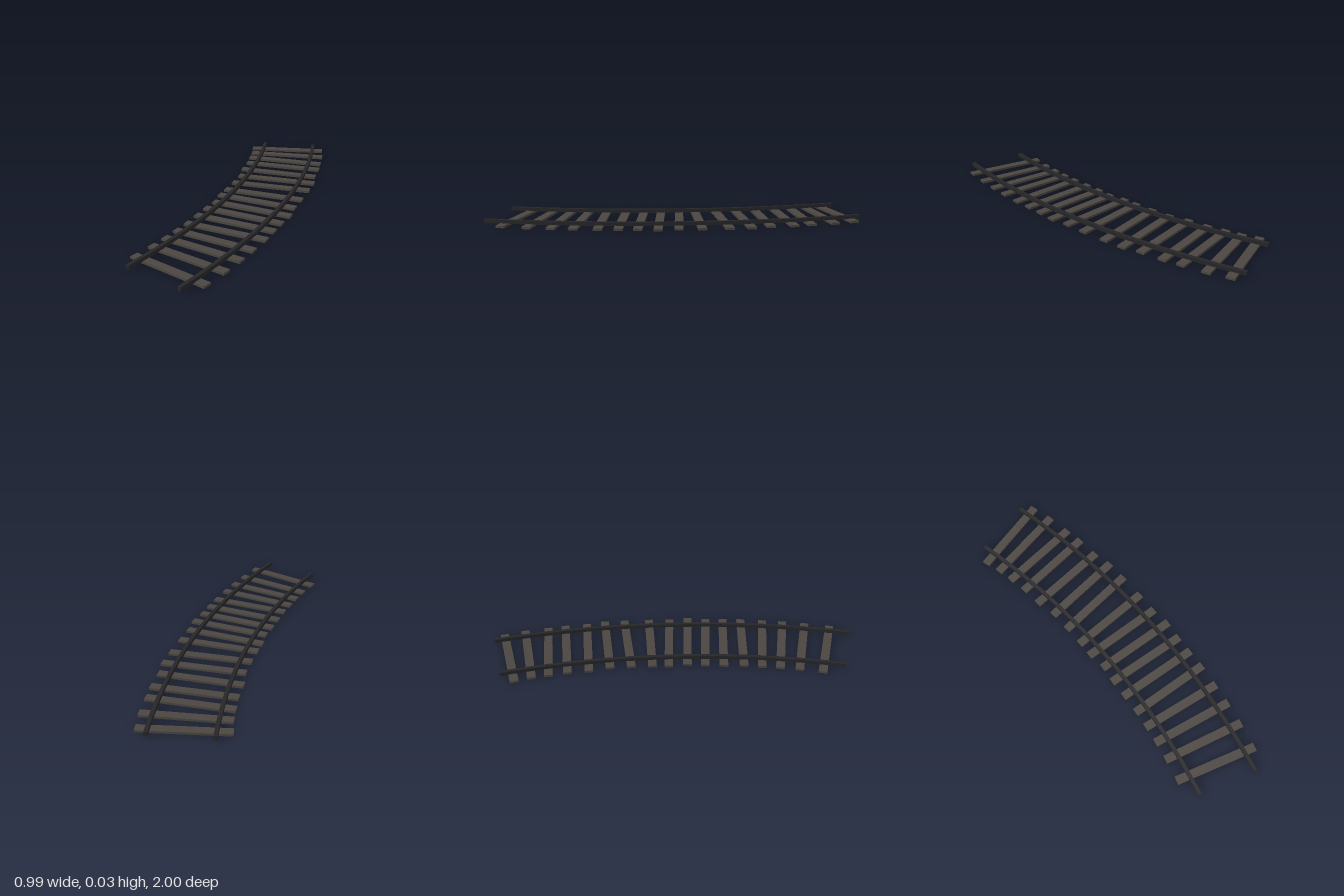
import * as THREE from 'three';

// Rails: start and end in plan (x, z) and radius of the arc joining them
const RAILS = [
  { name: 'innerRail', from: [0.103, 1], to: [-0.451, -0.832], radius: 4.01 },
  { name: 'outerRail', from: [0.43, 1], to: [-0.166, -0.994], radius: 4.34 },
];

// Sleepers, irregularly laid: x, z, turn in degrees
const SLEEPERS = [
  [0.256, 0.881, 0], [0.248, 0.744, 2.6], [0.235, 0.625, 5.8], [0.219, 0.515, 8.4],
  [0.2, 0.4, 12.5], [0.174, 0.292, 12], [0.15, 0.19, 11.8], [0.132, 0.088, 13],
  [0.09, -0.013, 13.8], [0.061, -0.117, 18.1], [0.021, -0.244, 22], [-0.018, -0.356, 21.9],
  [-0.074, -0.456, 20.8], [-0.121, -0.57, 22.2], [-0.169, -0.662, 21.9],
  [-0.222, -0.763, 27.4], [-0.282, -0.853, 30.9],
];

const RAIL_WIDTH = 0.02, RAIL_BOTTOM = 0.011, RAIL_TOP = 0.032;
const SLEEPER_SIZE = [0.47, 0.013, 0.048];

// Square bar following an arc that bows towards +x
function railGeometry({ from, to, radius }, segments = 16) {
  const p0 = new THREE.Vector2(...from), p1 = new THREE.Vector2(...to);
  const chord = p1.clone().sub(p0);
  const half = chord.length() / 2;
  chord.normalize();
  const centre = p0.clone().add(p1).multiplyScalar(0.5)
    .addScaledVector(new THREE.Vector2(chord.y, -chord.x), Math.sqrt(radius ** 2 - half ** 2));
  const a0 = Math.atan2(p0.y - centre.y, p0.x - centre.x);
  const a1 = Math.atan2(p1.y - centre.y, p1.x - centre.x);
  const edge = (r) => Array.from({ length: segments + 1 }, (_, i) => {
    const a = THREE.MathUtils.lerp(a0, a1, i / segments);
    return new THREE.Vector2(centre.x + r * Math.cos(a), centre.y + r * Math.sin(a));
  });
  const outline = [...edge(radius + RAIL_WIDTH / 2), ...edge(radius - RAIL_WIDTH / 2).reverse()];
  return new THREE.ExtrudeGeometry(new THREE.Shape(outline), {
    depth: RAIL_TOP - RAIL_BOTTOM, bevelEnabled: false,
  }).rotateX(Math.PI / 2).translate(0, RAIL_TOP, 0);
}

export function createModel() {
  const wood = new THREE.MeshStandardMaterial({ name: 'weatheredWood', color: 0x4b4640 });
  const steel = new THREE.MeshStandardMaterial({ name: 'darkSteel', color: 0x262628 });
  const model = new THREE.Group();
  model.name = 'curvedTrack';

  // Sleepers
  const sleepers = new THREE.Group();
  sleepers.name = 'sleepers';
  const plank = new THREE.BoxGeometry(...SLEEPER_SIZE);
  SLEEPERS.forEach(([x, z, turn], i) => {
    const mesh = new THREE.Mesh(plank, wood);
    mesh.name = `sleeper${i + 1}`;
    mesh.position.set(x, SLEEPER_SIZE[1] / 2, z);
    mesh.rotation.y = THREE.MathUtils.degToRad(turn);
    sleepers.add(mesh);
  });
  model.add(sleepers);

  // Rails
  for (const rail of RAILS) {
    const mesh = new THREE.Mesh(railGeometry(rail), steel);
    mesh.name = rail.name;
    model.add(mesh);
  }
  return model;
}
